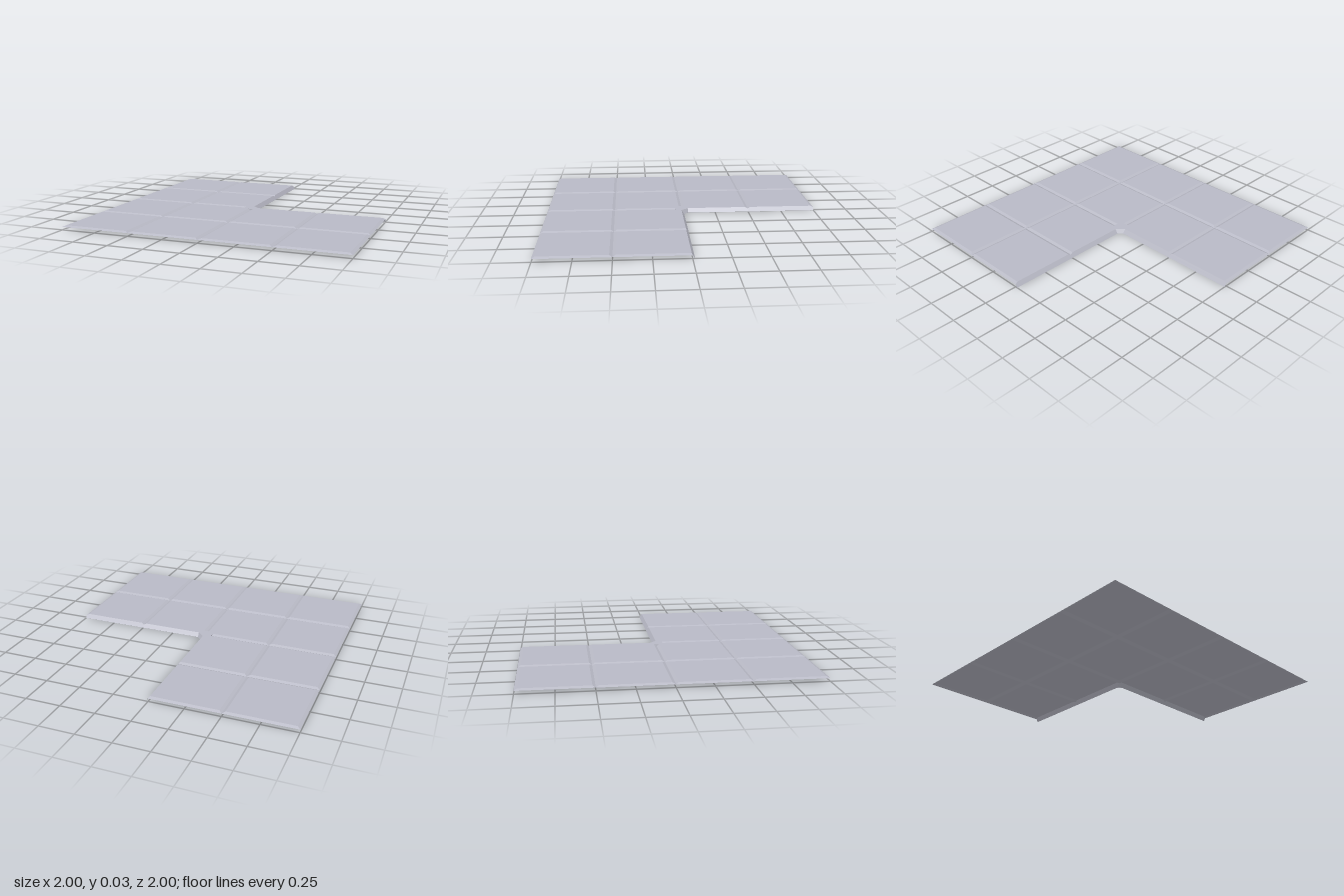
import * as THREE from 'three';

const TOP = 0.03;      // height of the tile faces
const GROOVE = 0.021;  // height of the groove bottoms
const BEVEL = 0.02;    // half width of a groove
const WALL_TOP = 0.005, WALL_FOOT = -0.015; // inset of the sloped wall, top and bottom
const WALL_MID = WALL_FOOT + (WALL_TOP - WALL_FOOT) * GROOVE / TOP;

// Convex polygons, counter-clockwise seen from outside, to one faceted geometry
function fromPolygons(polygons) {
  const positions = [];
  for (const p of polygons)
    for (let i = 1; i < p.length - 1; i++) positions.push(...p[0], ...p[i], ...p[i + 1]);
  const geometry = new THREE.BufferGeometry();
  geometry.setAttribute('position', new THREE.Float32BufferAttribute(positions, 3));
  geometry.computeVertexNormals();
  return geometry;
}

// Corners of a rectangle, counter-clockwise from above
const rectangle = (x0, z0, x1, z1, y) => [[x0, y, z0], [x0, y, z1], [x1, y, z1], [x1, y, z0]];

const sideQuad = (low, high, i) => {
  const j = (i + 1) % 4;
  return [low[i], low[j], high[j], high[i]];
};

export function createModel() {
  const group = new THREE.Group();
  group.name = 'cornerFloor';
  const stone = new THREE.MeshStandardMaterial({ color: 0xb9bac6, side: THREE.DoubleSide });
  stone.name = 'pale grey stone';

  const add = (name, polygons) => {
    const mesh = new THREE.Mesh(fromPolygons(polygons), stone);
    mesh.name = name;
    group.add(mesh);
  };

  // Bevelled tiles in an L, with a sloped wall along the notch
  for (let row = 0; row < 4; row++) {
    for (let col = 0; col < 4; col++) {
      if (row < 2 && col > 1) continue;
      const x0 = -1 + col * 0.5, z0 = -1 + row * 0.5, x1 = x0 + 0.5, z1 = z0 + 0.5;
      const wallRight = row < 2 && col === 1;
      const wallBack = row === 2 && col > 1;
      const ring = (inset, wallInset, y) => rectangle(
        x0 + inset, z0 + (wallBack ? wallInset : inset),
        x1 - (wallRight ? wallInset : inset), z1 - inset, y);
      const face = ring(BEVEL, WALL_TOP, TOP);
      const rim = ring(0, WALL_MID, GROOVE);
      add('tile', [face, ...[0, 1, 2, 3].map(i => sideQuad(rim, face, i))]);
      if (wallRight || wallBack)
        add('notchWall', [sideQuad(ring(0, WALL_FOOT, 0), rim, wallRight ? 2 : 3)]);
    }
  }

  // Flat patch where the grooves stop at the inner corner, its groove ends and chamfer
  const patch = [[-0.06, -0.02], [-0.06, 0.02], [-0.02, 0.05], [0.02, 0.05], [0.045, 0.005], [-0.005, -0.045]]
    .map(([x, z]) => [x, TOP, z]);
  add('innerCorner', [
    patch,
    [[-0.06, TOP, -0.02], [-0.06, GROOVE, 0], [-0.06, TOP, 0.02]],
    [[-0.02, TOP, 0.05], [0, GROOVE, 0.05], [0.02, TOP, 0.05]],
    [[0.045, 0, -0.015], [0.015, 0, -0.045], [-0.005, TOP, -0.045], [0.045, TOP, 0.005]],
  ]);

  return group;
}
